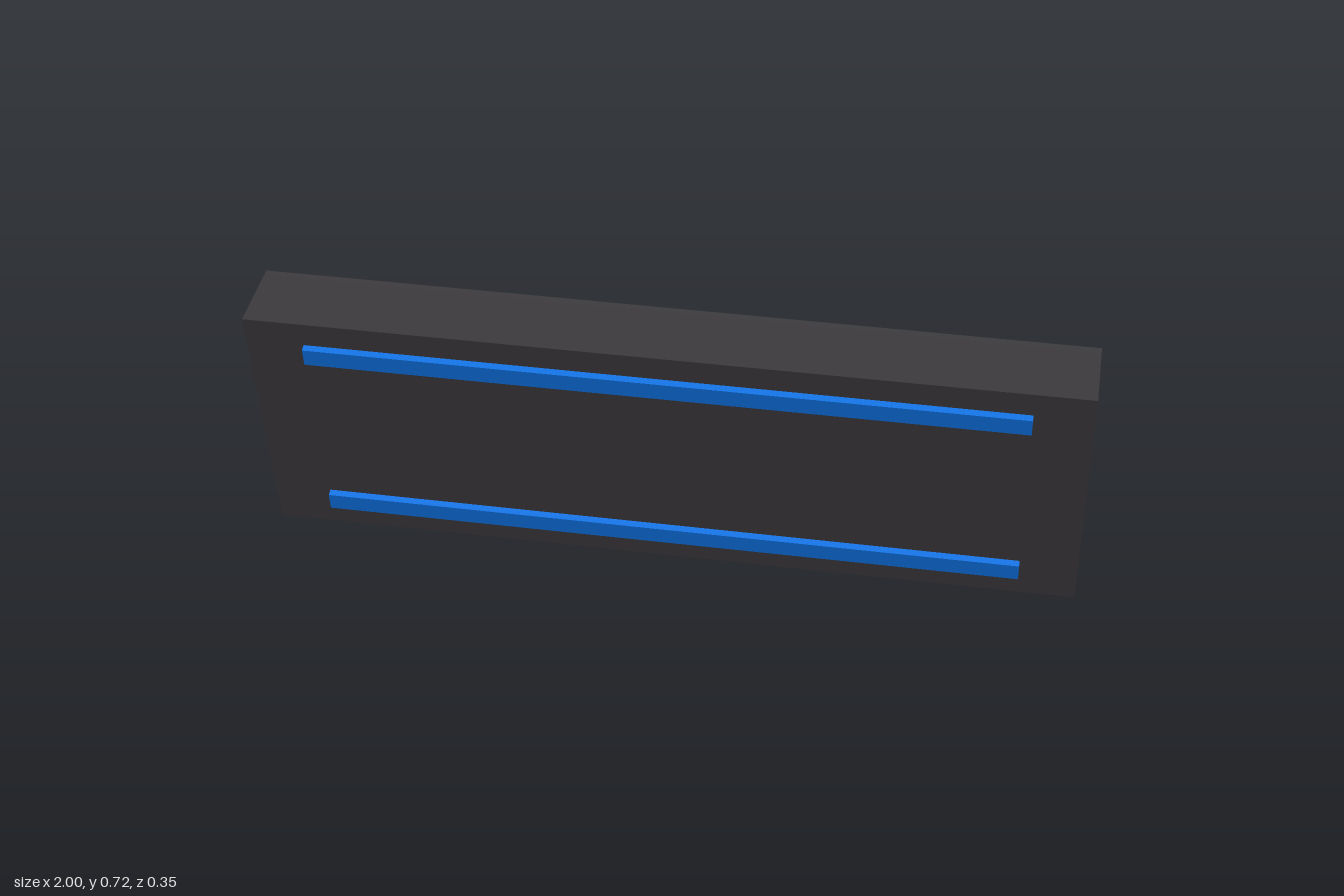
import * as THREE from 'three';

const mat = (color) => new THREE.MeshStandardMaterial({ color, flatShading: true });
const caseMat = mat(0x3b393c), darkMat = mat(0x343231), blueMat = mat(0x0d72e3), greyMat = mat(0x999999);

const UNIT = 0.119;          // key pitch
const HALF_W = 0.995;        // half the case width
const HEIGHT = 0.688;        // case depth, space bar edge to number row edge
const WELL = 0.02;           // depth of the key well

function addMesh(parent, name, geometry, material) {
  const mesh = new THREE.Mesh(geometry, material);
  mesh.name = name;
  parent.add(mesh);
  return mesh;
}

// Tapered key: upright rear face, sloping front and sides, top slightly tipped
function keyGeometry(units) {
  const w = units * UNIT - 0.006, base = -0.008;
  const geo = new THREE.BoxGeometry(w, 1, 1);
  const p = geo.attributes.position;
  for (let i = 0; i < p.count; i++) {
    const top = p.getZ(i) > 0, rear = p.getY(i) > 0;
    const x = Math.sign(p.getX(i)) * (w / 2 - (top ? 0.017 : 0));
    const y = top ? (rear ? 0.110 : 0.023) : (rear ? 0.113 : 0);
    const z = top ? (rear ? 0.054 : 0.0575) : base;
    p.setXYZ(i, x, y, z);
  }
  geo.computeVertexNormals();
  return geo;
}

// Rows from the space bar upward: [width in units, count, material, name]
const ROWS = [
  [[1.25, 3, blueMat, 'modifierKey'], [6.25, 1, darkMat, 'spaceBar'], [1, 6, blueMat, 'modifierKey']],
  [[2.25, 1, blueMat, 'leftShiftKey'], [1, 10, greyMat, 'letterKey'], [1.75, 1, blueMat, 'rightShiftKey'], [1, 2, blueMat, 'arrowKey']],
  [[1.75, 1, blueMat, 'capsKey'], [1, 11, greyMat, 'letterKey'], [2.25, 1, darkMat, 'enterKey'], [1, 1, blueMat, 'sideKey']],
  [[1.5, 1, blueMat, 'tabKey'], [1, 12, greyMat, 'letterKey'], [1.5, 1, blueMat, 'slashKey'], [1, 1, blueMat, 'sideKey']],
  [[1, 1, darkMat, 'escapeKey'], [1, 12, greyMat, 'numberKey'], [2, 1, blueMat, 'backspaceKey'], [1, 1, blueMat, 'sideKey']],
];

export function createModel() {
  const model = new THREE.Group();
  model.name = 'keyboard';
  // Keyboard space: x right, y toward the number row, z out of the keys
  const board = new THREE.Group();
  board.name = 'keyboardBody';
  board.rotation.set(0.139, Math.PI, 0.0125);
  model.add(board);

  // Wedge-shaped lower case, extruded across the width
  const section = new THREE.Shape([
    [WELL, 0], [0.1155, 0.004], [0.205, 0.698], [WELL, HEIGHT + 0.001],
  ].map(([x, y]) => new THREE.Vector2(x, y)));
  const wedge = new THREE.ExtrudeGeometry(section, { depth: HALF_W * 2, bevelEnabled: false });
  wedge.translate(0, 0, -HALF_W).rotateY(Math.PI / 2);
  addMesh(board, 'case', wedge, caseMat);

  // Raised bezel round the key well
  const rect = (Type, x, y0, y1) => new Type([
    [-x, y0], [x, y0], [x, y1], [-x, y1],
  ].map(([a, b]) => new THREE.Vector2(a, b)));
  const frame = rect(THREE.Shape, HALF_W, 0, HEIGHT);
  frame.holes.push(rect(THREE.Path, 0.957, 0.043, 0.647));
  const bezel = new THREE.ExtrudeGeometry(frame, { depth: WELL, bevelEnabled: false });
  addMesh(board, 'bezel', bezel, caseMat).position.z = -WELL;

  // Keys
  const keys = new THREE.Group();
  keys.name = 'keys';
  board.add(keys);
  ROWS.forEach((row, r) => {
    let x = -8 * UNIT;
    for (const [units, count, material, name] of row) {
      const geo = keyGeometry(units);
      for (let i = 0; i < count; i++) {
        addMesh(keys, name, geo, material).position.set(x + units * UNIT / 2, 0.05 + r * UNIT, 0);
        x += units * UNIT;
      }
    }
  });

  // Two long grip strips on the sloping underside
  const slope = -0.0895 / 0.694;
  for (const [name, y] of [['lowerFootStrip', 0.095], ['upperFootStrip', 0.606]]) {
    const strip = addMesh(board, name, new THREE.BoxGeometry(1.71, 0.048, 0.024), blueMat);
    strip.position.set(0, y, -0.1155 + slope * (y - 0.004) - 0.006);
    strip.rotation.x = Math.atan(slope);
  }

  // Stand on the ground, centred
  model.updateMatrixWorld(true);
  const box = new THREE.Box3().setFromObject(model, true);
  const c = box.getCenter(new THREE.Vector3());
  board.position.set(-c.x, -box.min.y, -c.z);
  return model;
}
